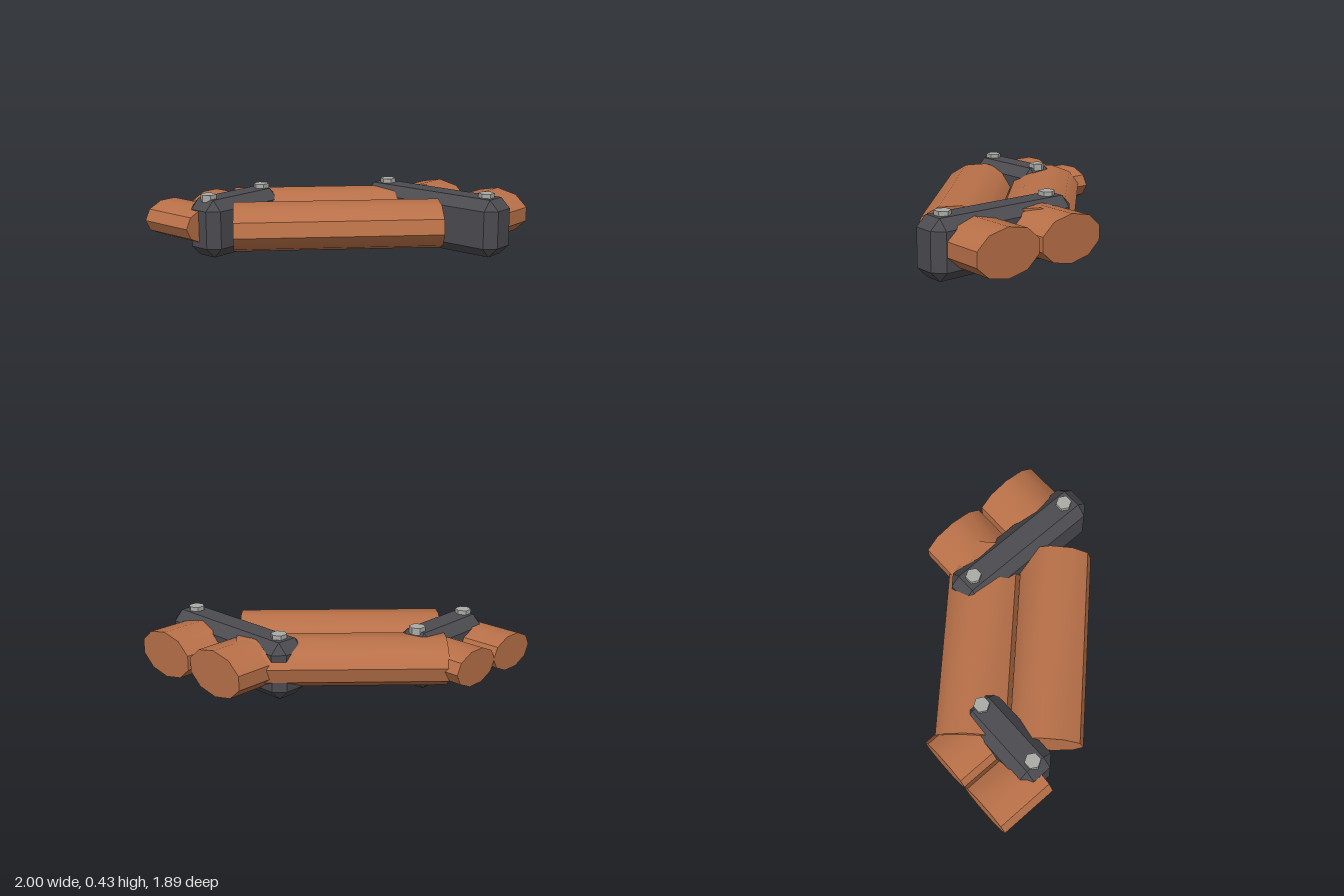
import * as THREE from 'three';
import { toCreasedNormals } from 'three/addons/utils/BufferGeometryUtils.js';
import { ConvexGeometry } from 'three/addons/geometries/ConvexGeometry.js';

const material = (name, color) => {
  const m = new THREE.MeshStandardMaterial({ color });
  m.name = name;
  return m;
};

export function createModel() {
  const copper = material('copper', 0xb87048);
  const iron = material('dark iron', 0x4b4b50);
  const steel = material('bolt steel', 0xaaaaa6);
  const model = new THREE.Group();
  model.name = 'pipeSection';

  const add = (name, geometry, mat, x, y, z, parent = model) => {
    const mesh = new THREE.Mesh(geometry, mat);
    mesh.name = name;
    mesh.position.set(x, y, z);
    parent.add(mesh);
  };

  // Flattened ten-sided pipe along z, turned about y; phase sets where the corners fall
  const rad = THREE.MathUtils.degToRad;
  const pipe = (name, x, z, halfWidth, halfHeight, length, phase, turn) => {
    const g = new THREE.CylinderGeometry(1, 1, length, 10, 1, false, rad(phase + 90));
    g.rotateX(Math.PI / 2);
    g.scale(halfWidth, halfHeight, 1);
    g.rotateY(rad(turn));
    add(name, toCreasedNormals(g, rad(35.5)), copper, x, 0.2175, z);
  };

  // Diagonal pair
  pipe('rearDiagonalPipe', -0.249, -0.18, 0.255, 0.165, 1.41, 28, -45);
  pipe('frontDiagonalPipe', 0.106, 0.181, 0.255, 0.165, 1.41, 28, -45);
  // Pair leaving to the back
  for (const x of [0.168, 0.682]) pipe('backPipe', x, -0.7375, 0.255, 0.1625, 0.425, 18, 0);
  // Pair leaving to the side
  for (const z of [0.33, 0.737]) pipe('sidePipe', -0.7865, z, 0.2075, 0.128, 0.427, 0, 90);

  // Block with every edge bevelled
  const bevelledBlock = (w, h, d, c) => {
    const half = [w / 2, h / 2, d / 2];
    const points = [];
    for (const sx of [-1, 1]) for (const sy of [-1, 1]) for (const sz of [-1, 1]) {
      for (let face = 0; face < 3; face++) {
        const p = [sx, sy, sz].map((s, i) => s * (half[i] - (i === face ? 0 : c)));
        points.push(new THREE.Vector3(...p));
      }
    }
    return new ConvexGeometry(points);
  };

  // Clamp with a hex bolt at each listed spot
  const clamp = (name, x, z, w, d, bolts) => {
    const group = new THREE.Group();
    group.name = name;
    group.position.set(x, 0, z);
    add('clampBlock', bevelledBlock(w, 0.4, d, 0.07), iron, 0, 0.2, 0, group);
    for (const [bx, bz] of bolts) {
      const g = toCreasedNormals(new THREE.CylinderGeometry(0.056, 0.056, 0.05, 6), 0.5);
      add('bolt', g, steel, bx, 0.405, bz, group);
    }
    model.add(group);
  };
  clamp('backClamp', 0.4275, -0.5225, 1.145, 0.285, [[-0.4275, 0], [0.4275, 0]]);
  clamp('sideClamp', -0.5725, 0.4875, 0.285, 0.69, [[0, -0.262], [0, 0.25]]);

  return model;
}
